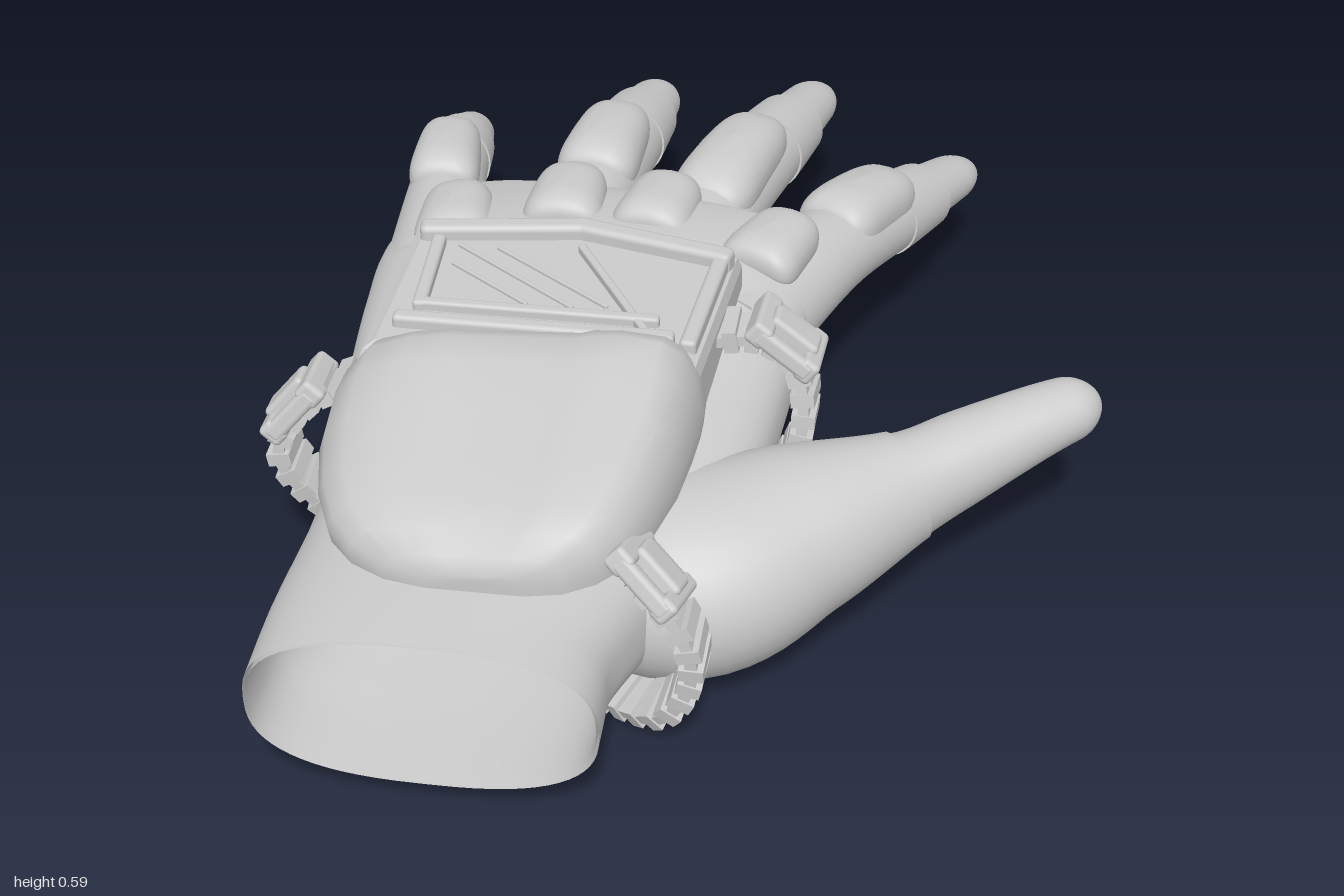
import * as THREE from 'three';
import { toCreasedNormals, mergeGeometries } from 'three/addons/utils/BufferGeometryUtils.js';
import { RoundedBoxGeometry } from 'three/addons/geometries/RoundedBoxGeometry.js';

const V = (x, y, z) => new THREE.Vector3(x, y, z);
const material = new THREE.MeshStandardMaterial({ color: 0xcccccc, side: THREE.DoubleSide });
const power = (c, e) => Math.sign(c) * Math.abs(c) ** e;

// Skin closed rings of equal length; optionally cap each end with a fan
function loft(rings, capStart, capEnd) {
  const n = rings[0].length, pts = rings.flat(), index = [];
  for (let i = 0; i < rings.length - 1; i++) for (let j = 0; j < n; j++) {
    const a = i * n + j, b = i * n + (j + 1) % n;
    index.push(a, a + n, b, b, a + n, b + n);
  }
  const cap = (ring, flip) => {
    const base = pts.length, c = V(0, 0, 0);
    ring.forEach(p => c.addScaledVector(p, 1 / n));
    pts.push(...ring, c);
    for (let j = 0; j < n; j++) {
      const a = base + j, b = base + (j + 1) % n;
      index.push(base + n, flip ? b : a, flip ? a : b);
    }
  };
  if (capStart) cap(rings[0], false);
  if (capEnd) cap(rings[rings.length - 1], true);
  const g = new THREE.BufferGeometry().setFromPoints(pts);
  g.setIndex(index);
  g.computeVertexNormals();
  return g;
}

// Path points are [x, y, z, half width, half height]; roll grows along the path
function path(points, roll = 0) {
  const centre = new THREE.CatmullRomCurve3(points.map(p => V(p[0], p[1], p[2])), false, 'catmullrom');
  const size = new THREE.CatmullRomCurve3(points.map(p => V(p[3], p[4], 0)), false, 'catmullrom');
  return t => {
    const p = centre.getPoint(t), T = centre.getTangent(t), s = size.getPoint(t);
    const side = T.clone().cross(V(0, 1, 0)).normalize().applyAxisAngle(T, roll * t);
    return { p, T, side, up: side.clone().cross(T), w: s.x, h: s.y };
  };
}

// Superelliptic tube along a path, optionally rounded off after t = round
function sweep(at, { t0 = 0, t1 = 1, scale = 1, exp = 2, round = 1, steps = 28, n = 36, caps = [true, true] } = {}) {
  const rings = [];
  for (let i = 0; i <= steps; i++) {
    let t = i / steps;
    if (round < 1) t = 1 - (1 - t) ** 1.8;
    t = t0 + (t1 - t0) * t;
    const k = t > round ? Math.sqrt(Math.max(0.0004, 1 - ((t - round) / (1 - round)) ** 2)) : 1;
    const { p, side, up, w, h } = at(t);
    rings.push(Array.from({ length: n }, (_, j) => {
      const a = j / n * Math.PI * 2;
      return p.clone().addScaledVector(side, w * scale * k * power(Math.cos(a), 2 / exp))
        .addScaledVector(up, h * scale * k * power(Math.sin(a), 2 / exp));
    }));
  }
  return loft(rings, ...caps);
}

// Squarish cushion, bent over its long axis and wider toward the wrist
function padGeometry(w, h, l) {
  const g = new THREE.SphereGeometry(1, 40, 20), pos = g.attributes.position;
  for (let i = 0; i < pos.count; i++) {
    const z = power(pos.getZ(i), .45) * l / 2;
    const x = power(pos.getX(i), .45) * w / 2 * (1 + .25 * z / l);
    pos.setXYZ(i, x, power(pos.getY(i), .8) * h / 2 - x * x * 4 - z * z * .6, z);
  }
  g.computeVertexNormals();
  return g;
}

export function createModel() {
  const model = new THREE.Group();
  const add = (name, g, parent = model) => {
    const m = new THREE.Mesh(g, material);
    m.name = name;
    parent.add(m);
    return m;
  };
  const group = name => { const g = new THREE.Group(); g.name = name; model.add(g); return g; };

  // Hand body with an open wrist and a tapering hollow
  const hand = path([
    [-.32, .2, .985, .29, .15], [-.318, .205, .82, .292, .155], [-.28, .205, .6, .325, .165],
    [-.24, .243, .4, .38, .155], [-.228, .27, .2, .4, .15], [-.225, .3, 0, .415, .145],
    [-.22, .312, -.14, .425, .135], [-.208, .315, -.26, .405, .115], [-.195, .315, -.32, .37, .09]], -.1);
  add('handBody', sweep(hand, { exp: 2.6, round: .93, steps: 50, n: 64, caps: [false, true] }));
  const hollow = path([[-.32, .2, .985, .285, .145], [-.32, .205, .8, .275, .138], [-.34, .21, .6, .2, .12], [-.36, .22, .45, .1, .08]]);
  add('wristLining', sweep(hollow, { exp: 2.6, n: 48, caps: [false, true] }));

  // Fingers: sleeve, cuff, bare tip and pad
  const fingers = [
    ['littleFinger', .70, .37, .22, .13, [[-.53, .305, -.1, .1, .09], [-.573, .31, -.42, .074, .08], [-.59, .285, -.62, .064, .068], [-.602, .228, -.8, .052, .047]]],
    ['ringFinger', .80, .43, .25, .15, [[-.29, .32, -.1, .1, .1], [-.27, .34, -.42, .082, .084], [-.25, .32, -.66, .077, .072], [-.225, .26, -.96, .057, .047]]],
    ['middleFinger', .76, .39, .33, .155, [[-.1, .325, -.08, .1, .1], [-.02, .345, -.4, .086, .084], [.045, .32, -.68, .077, .072], [.112, .262, -1, .057, .045]]],
    ['indexFinger', .76, .49, .26, .15, [[.06, .33, .07, .1, .1], [.185, .325, -.26, .092, .084], [.31, .275, -.53, .076, .07], [.435, .207, -.82, .054, .044]]]];
  for (const [name, cuff, padT, padL, padW, pts] of fingers) {
    const g = group(name), at = path(pts);
    add('sleeve', sweep(at, { t1: cuff - .03 }), g);
    add('cuff', toCreasedNormals(sweep(at, { t0: cuff - .17, t1: cuff, scale: 1.05, steps: 8 }), .7), g);
    add('fingertip', sweep(at, { t0: cuff - .05, scale: .89, round: .9 }), g);
    const f = at(padT);
    const pad = add('fingerPad', padGeometry(padW, .085, padL), g);
    pad.quaternion.setFromRotationMatrix(new THREE.Matrix4().makeBasis(f.side, f.up, f.T.clone().negate()));
    pad.position.copy(f.p).addScaledVector(f.up, f.h * .93);
  }

  // Thumb
  const thumb = path([[-.2, .2, .53, .12, .13], [.03, .187, .55, .2, .175], [.225, .225, .455, .158, .148],
    [.4, .262, .355, .094, .104], [.5, .287, .285, .084, .086], [.62, .315, .205, .07, .066], [.72, .328, .14, .056, .053]]);
  const thumbGroup = group('thumb');
  add('thumbSleeve', toCreasedNormals(sweep(thumb, { t1: .5 }), .7), thumbGroup);
  add('thumbTip', sweep(thumb, { t0: .46, scale: .95, round: .91 }), thumbGroup);

  // Knuckle pads: position, turn, lean
  [[-.505, .405, -.195, .1, .15], [-.295, .442, -.23, 0, .06], [-.115, .45, -.21, -.14, 0], [.11, .445, -.115, -.35, 0]]
    .forEach(([x, y, z, turn, lean]) => {
      const m = add('knucklePad', padGeometry(.145, .075, .185));
      m.position.set(x, y, z);
      m.rotation.set(-.05, turn, lean, 'YXZ');
    });

  // Domed shield over the wrist, with a shallow centre channel
  const profile = [[1, 0], [1.02, .3], [.98, .6], [.9, .86], [.8, .97], [.55, 1], [.4, .98], [.32, .94], [-.28, .88],
    [-.4, .88], [-.62, .82], [-.84, .7], [-.98, .45], [-1.02, .22], [-1, 0]];
  const shield = [[.865, -.33, -.17, .4], [.852, -.4, -.11, .43], [.82, -.46, -.06, .46], [.77, -.505, -.02, .482], [.69, -.54, .01, .505],
    [.58, -.565, .035, .535], [.48, -.57, .045, .565], [.42, -.565, .05, .573], [.385, -.56, .05, .56], [.355, -.55, .045, .535]].map(([z, l, r, top]) =>
    profile.map(([u, v]) => V((l + r) / 2 + u * (r - l) / 2, .365 + v * (top - .365), z)));
  add('wristShield', toCreasedNormals(loft(shield, true, true), .6));

  // Back plate with raised frame and ribs
  const plate = group('backPlate');
  const outline = new THREE.Shape([[-.515, -.39], [.02, -.39], [.045, -.05], [-.22, .02], [-.505, -.02]].map(p => new THREE.Vector2(...p)));
  const slab = new THREE.ExtrudeGeometry(outline, { depth: .1, bevelEnabled: true, bevelThickness: .03, bevelSize: .025, bevelSegments: 2 });
  slab.rotateX(-Math.PI / 2).translate(0, .375, 0);
  add('plateBase', slab, plate);
  const bar = (x1, z1, x2, z2, w, h) => {
    const m = add('plateRib', new RoundedBoxGeometry(Math.hypot(x2 - x1, z2 - z1) + w, h, w, 2, Math.min(w, h) * .3), plate);
    m.position.set((x1 + x2) / 2, .505, (z1 + z2) / 2);
    m.rotation.y = -Math.atan2(z2 - z1, x2 - x1);
  };
  [[-.49, .05, -.22, .01, .04, .055], [-.22, .01, .04, .07, .04, .055], [.04, .07, .02, .34, .03, .04],
    [-.47, .08, -.46, .28, .025, .035], [-.46, .28, -.05, .28, .022, .035], [-.48, .335, -.02, .335, .03, .045],
    [-.21, .07, -.05, .33, .015, .03], [-.43, .08, -.2, .25, .008, .012], [-.43, .14, -.28, .25, .008, .012],
    [-.36, .08, -.14, .24, .008, .012]].forEach(b => bar(...b));
  for (let i = 0; i < 14; i++) {
    const x = -.49 + i * .04, z = x < -.22 ? -.075 - x * .16 : -.03 + (x + .22) * .22;
    const m = add('rimStud', new THREE.SphereGeometry(.013, 8, 6), plate);
    m.position.set(x, .49 + (i % 2) * .01, z + .015);
  }

  // Palm guard with rippled face
  const edge = new THREE.CatmullRomCurve3([[.17, -.08], [.11, -.24], [-.1, -.3], [-.4, -.3], [-.58, -.22], [-.61, 0],
    [-.6, .3], [-.53, .45], [-.4, .46], [-.25, .41], [-.06, .3], [.11, .15]].map(([x, z]) => V(x, 0, z)), true).getPoints(80).slice(0, 80);
  const guardY = (x, z) => .115 + (z > 0 ? -.12 * z : .6 * z * z) + .1 * ((x + .22) / .4) ** 4;
  const guard = [[1, .06], [1.01, .03], [.99, .01], [.95, 0], [.8, 0], [.65, 0], [.5, 0], [.35, 0], [.2, 0], [.04, 0]].map(([s, lift]) =>
    edge.map(p => {
      const x = -.25 + (p.x + .25) * s, z = .05 + (p.z - .05) * s;
      const ripple = s < .9 ? .007 * Math.sin(x * 42 + z * 12) : 0;
      return V(x, guardY(x, z) + lift + ripple, z);
    }));
  add('palmGuard', loft(guard, false, true));
  [[.06, .15], [-.25, .37], [-.48, .39]].forEach(([x, z]) => {
    const m = add('guardStud', new THREE.SphereGeometry(.042, 20, 12));
    m.scale.y = .5;
    m.position.set(x, guardY(x, z) - .004, z);
  });

  // Ridged straps with buckles
  const strap = (name, points, buckleT, width) => {
    const g = group(name), curve = new THREE.CatmullRomCurve3(points.map(p => V(...p)));
    const count = Math.round(curve.getLength() / .02);
    const basis = t => {
      const p = curve.getPointAt(t), T = curve.getTangentAt(t);
      const side = p.clone().sub(V(-.2, .24, p.z)).cross(T).normalize();
      return new THREE.Matrix4().makeBasis(side, T.clone().cross(side), T).setPosition(p);
    };
    const links = [];
    for (let i = 0; i <= count; i++) {
      const raised = i % 2;
      links.push(new THREE.BoxGeometry(raised ? width : width * .92, raised ? .042 : .02, .025).applyMatrix4(basis(i / count)));
    }
    add('ridgedBand', mergeGeometries(links), g);
    const parts = [];
    const box = (x, y, z, w, h, l) => parts.push(new RoundedBoxGeometry(w, h, l, 2, .01).translate(x, y, z));
    box(0, .012, -.055, width * 1.5, .045, .04);
    box(0, .012, .05, width * 1.5, .045, .035);
    box(0, .02, 0, width * .7, .05, .1);
    for (const s of [-1, 1]) box(s * width * .62, .012, 0, .025, .035, .12);
    add('buckle', mergeGeometries(parts).applyMatrix4(basis(buckleT)), g);
  };
  strap('thumbWebStrap', [[.02, .45, .21], [.13, .46, .21], [.19, .42, .215], [.21, .3, .23], [.16, .17, .22], [.07, .115, .16]], .27, .085);
  strap('wristStrap', [[-.05, .38, .73], [.01, .35, .77], [.08, .26, .785], [.09, .17, .775], [.04, .07, .75], [-.07, .025, .67],
    [-.22, .025, .54], [-.38, .06, .44]], .09, .085);
  strap('outerStrap', [[-.55, .42, .38], [-.63, .38, .39], [-.69, .28, .4], [-.64, .18, .39], [-.54, .09, .36]], .26, .085);
  return model;
}
